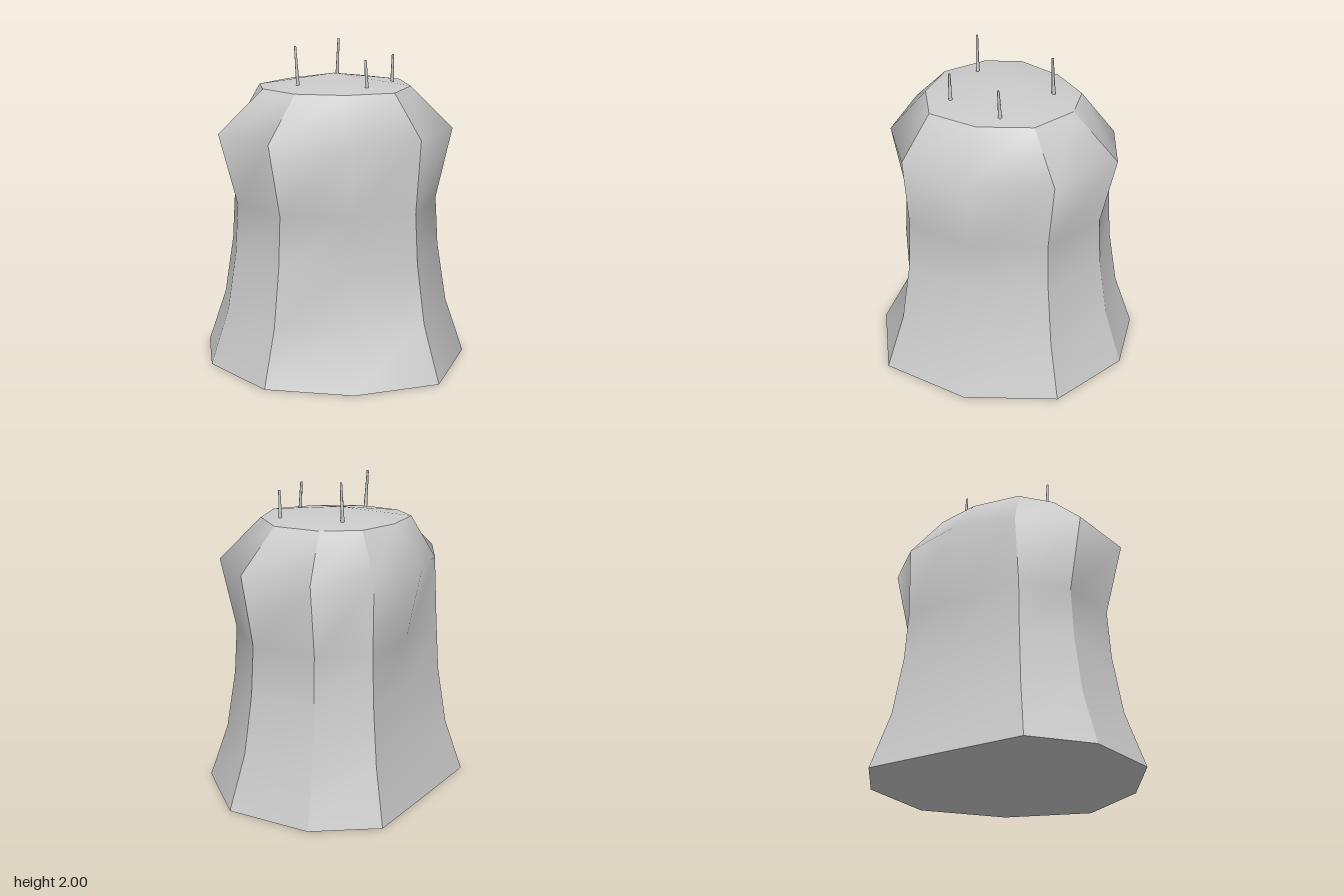
import * as THREE from 'three';

// Base outline as [x, z], going round from the back towards +x
const BASE = [
  [0, -0.855], [0.44, -0.755], [0.82, -0.34], [0.82, 0.25], [0.535, 0.765],
  [0, 0.85], [-0.52, 0.685], [-0.82, 0.25], [-0.82, -0.18], [-0.41, -0.52],
];
const SHOULDER = [
  [0, -0.665], [0.385, -0.665], [0.7, -0.29], [0.72, 0.22], [0.43, 0.61],
  [0, 0.73], [-0.47, 0.615], [-0.74, 0.225], [-0.6, -0.15], [-0.37, -0.485],
];
const RIM = [
  [0, -0.455], [0.25, -0.4], [0.46, -0.17], [0.46, 0.165], [0.3, 0.45],
  [0, 0.5], [-0.29, 0.405], [-0.46, 0.16], [-0.46, -0.08], [-0.255, -0.315],
];
const N = BASE.length;
// Columns where the body has a sharp vertical edge
const CREASES = [0, 1, 2, 4, 6, 7, 8];

const material = new THREE.MeshStandardMaterial({ color: 0xcccccc });
const ring = (outline, y, s = 1) => outline.map(([x, z]) => [x * s, y, z * s]);

function makeMesh(name, points, index) {
  const geometry = new THREE.BufferGeometry();
  geometry.setAttribute('position', new THREE.Float32BufferAttribute(points.flat(), 3));
  geometry.setIndex(index);
  geometry.computeVertexNormals();
  const mesh = new THREE.Mesh(geometry, material);
  mesh.name = name;
  return mesh;
}

// Smooth strip of the body between two sharp columns
function bodyPanel(rings, from, to) {
  const points = [], index = [], rows = rings.length;
  for (let c = from; c <= to; c++) for (const r of rings) points.push(r[c % N]);
  for (let c = 0; c < to - from; c++) {
    for (let r = 0; r < rows - 1; r++) {
      const a = c * rows + r, b = a + rows;
      index.push(a, a + 1, b, b, a + 1, b + 1);
    }
  }
  return makeMesh('bodyPanel', points, index);
}

// Fan closing a ring to a centre point
function fan(name, outline, centre, up) {
  const index = [];
  for (let i = 0; i < N; i++) {
    const j = (i + 1) % N;
    index.push(N, up ? j : i, up ? i : j);
  }
  return makeMesh(name, [...outline, centre], index);
}

// Thin tapered spike between two points
function spike(a, b) {
  const start = new THREE.Vector3(...a), end = new THREE.Vector3(...b);
  const dir = end.clone().sub(start);
  const mesh = new THREE.Mesh(new THREE.CylinderGeometry(0.007, 0.012, dir.length(), 6), material);
  mesh.position.copy(start).add(end).multiplyScalar(0.5);
  mesh.quaternion.setFromUnitVectors(new THREE.Vector3(0, 1, 0), dir.normalize());
  mesh.name = 'spike';
  return mesh;
}

export function createModel() {
  const model = new THREE.Group();
  model.name = 'stump';

  const rings = [
    ring(BASE, 0), ring(BASE, 0.35, 0.86), ring(BASE, 0.72, 0.79),
    ring(BASE, 1.03, 0.767), ring(SHOULDER, 1.48), ring(RIM, 1.74),
  ];
  rings[1][5][2] = 0.665; // dent low on the front

  // Faceted body
  const body = new THREE.Group();
  body.name = 'body';
  CREASES.forEach((c, i) => body.add(bodyPanel(rings, c, CREASES[i + 1] ?? N)));
  model.add(body);

  // Shallow domed top and flat underside
  model.add(fan('topCap', rings[5], [0, 1.81, 0], true));
  model.add(fan('underside', rings[0], [0, 0, 0], false));

  // Spikes standing on the top
  const spikes = new THREE.Group();
  spikes.name = 'spikes';
  spikes.add(
    spike([-0.247, 1.75, 0.193], [-0.263, 2, 0.195]),
    spike([0.065, 1.75, -0.283], [0.072, 2, -0.27]),
    spike([0.153, 1.75, 0.335], [0.143, 1.925, 0.338]),
    spike([0.369, 1.74, 0.03], [0.37, 1.925, 0.04]),
  );
  model.add(spikes);
  return model;
}
